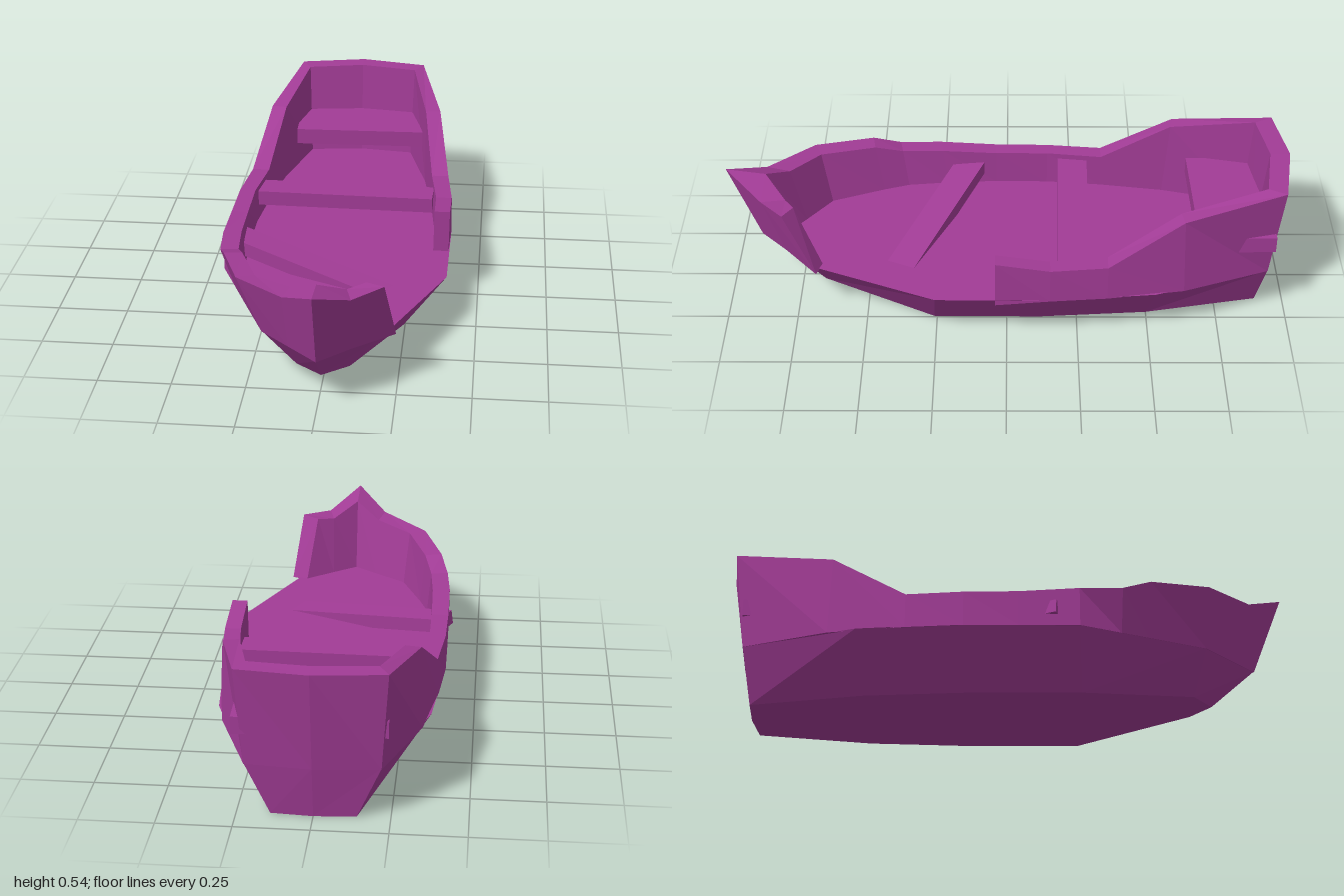
import * as THREE from 'three';

const purple = new THREE.MeshStandardMaterial({ color: 0xa23c96, flatShading: true });
purple.name = 'purple wood';

// Flat-faced mesh from a list of outward quads
function quadMesh(name, quads) {
  const pos = [];
  for (const [a, b, c, d] of quads) pos.push(...a, ...b, ...c, ...a, ...c, ...d);
  const g = new THREE.BufferGeometry();
  g.setAttribute('position', new THREE.Float32BufferAttribute(pos, 3));
  g.computeVertexNormals();
  const m = new THREE.Mesh(g, purple);
  m.name = name;
  return m;
}

const mirror = ([x, y, z]) => [-x, y, z];

// Lower hull: faceted skin between the floor outline and the keel outline
function buildHull() {
  const deck = [[0, 0.89], [0.2, 0.7], [0.392, 0.25], [0.395, -0.15], [0.36, -0.52], [0.22, -0.925], [0, -0.945]]
    .map(([x, z]) => [x, 0.19, z]);
  const keel = [[0, 0.05, 0.73], [0.09, 0.05, 0.66], [0.245, 0, 0.26], [0.247, -0, -0.12],
    [0.22, 0, -0.5], [0.14, 0, -0.9], [0, 0, -0.91]];
  const quads = [];
  for (let i = 0; i < deck.length - 1; i++) {
    const [d, e, k, l] = [deck[i], deck[i + 1], keel[i], keel[i + 1]];
    const [dm, em, km, lm] = [d, e, k, l].map(mirror);
    quads.push([k, l, e, d], [dm, em, lm, km]); // sides
    quads.push([d, e, em, dm], [km, lm, l, k]); // floor and underside
  }
  return quadMesh('hull', quads);
}

// Bulwark: a four-cornered section swept round the hull, open where it is broken
function buildBulwark() {
  const B = 0.187;
  // each: outer top, inner top, inner bottom, outer bottom
  const bow = [[0, 0.47, 1], [0, 0.45, 0.86], [0, B, 0.8], [0, B, 0.89]];
  const stem = [[-0.11, 0.405, 0.87], [-0.09, 0.4, 0.785], [-0.085, B, 0.735], [-0.1, B, 0.795]];
  const side = [
    [[-0.28, 0.388, 0.71], [-0.22, 0.385, 0.685], [-0.2, B, 0.65], [-0.2, B, 0.7]],
    [[-0.352, 0.373, 0.5], [-0.29, 0.37, 0.49], [-0.275, B, 0.46], [-0.29, B, 0.49]],
    [[-0.38, 0.335, 0.4], [-0.318, 0.335, 0.39], [-0.305, B, 0.37], [-0.33, B, 0.395]],
    [[-0.393, 0.328, 0.25], [-0.33, 0.328, 0.24], [-0.322, B, 0.22], [-0.392, B, 0.25]],
    [[-0.395, 0.315, 0.04], [-0.335, 0.315, 0.04], [-0.332, B, 0.04], [-0.394, B, 0.04]],
  ];
  const rear = [
    [[-0.392, 0.315, -0.15], [-0.335, 0.315, -0.15], [-0.33, B, -0.15], [-0.395, B, -0.15]],
    [[-0.372, 0.315, -0.35], [-0.31, 0.315, -0.35], [-0.31, B, -0.35], [-0.378, B, -0.35]],
    [[-0.327, 0.475, -0.61], [-0.272, 0.475, -0.6], [-0.275, B, -0.58], [-0.335, B, -0.62]],
    [[-0.243, 0.535, -0.963], [-0.21, 0.535, -0.9], [-0.2, B, -0.87], [-0.22, B, -0.925]],
  ];
  const stern = [[0, 0.54, -1], [0, 0.54, -0.93], [0, B, -0.895], [0, B, -0.945]];
  const brokenBow = [[0.21, 0.414, 0.785], [0.15, 0.41, 0.75], [0.185, B, 0.655], [0.243, B, 0.675]];
  const brokenSide = [[0.392, 0.344, 0.04], [0.337, 0.344, 0.04], [0.335, 0.166, 0.04], [0.39, 0.166, 0.04]];
  const flip = (s) => s.map(mirror);
  const s = [brokenBow, flip(stem), bow, stem, ...side, ...rear, stern,
    ...rear.map(flip).reverse(), brokenSide];
  const quads = [];
  for (let i = 0; i < s.length - 1; i++) {
    for (let k = 0; k < 4; k++) {
      const n = (k + 1) % 4;
      quads.push([s[i][k], s[i][n], s[i + 1][n], s[i + 1][k]]);
    }
  }
  quads.push([...s[0]].reverse(), s[s.length - 1]); // broken ends
  return quadMesh('bulwark', quads);
}

function plank(name, size, position, rotation = [0, 0, 0]) {
  const m = new THREE.Mesh(new THREE.BoxGeometry(...size), purple);
  m.name = name;
  m.position.set(...position);
  m.rotation.set(...rotation);
  return m;
}

export function createModel() {
  const boat = new THREE.Group();
  boat.name = 'brokenRowboat';
  boat.add(buildHull(), buildBulwark());

  // Stern seat and middle seat
  boat.add(plank('sternSeat', [0.5, 0.06, 0.27], [0.01, 0.33, -0.8], [0, 0.02, 0]));
  boat.add(plank('middleSeat', [0.66, 0.054, 0.11], [-0.01, 0.268, -0.237], [0, -0.02, 0]));

  // Snapped front seat, one end fallen through the floor
  const start = new THREE.Vector3(-0.385, 0.255, 0.12);
  const end = new THREE.Vector3(0.25, 0.155, 0.405);
  const dir = end.clone().sub(start);
  const fallen = plank('fallenSeat', [dir.length(), 0.05, 0.105],
    start.clone().add(end).multiplyScalar(0.5).toArray());
  const x = dir.clone().normalize();
  const z = x.clone().cross(new THREE.Vector3(0, 1, 0)).normalize();
  fallen.setRotationFromMatrix(new THREE.Matrix4().makeBasis(x, z.clone().cross(x), z));
  boat.add(fallen);
  return boat;
}
